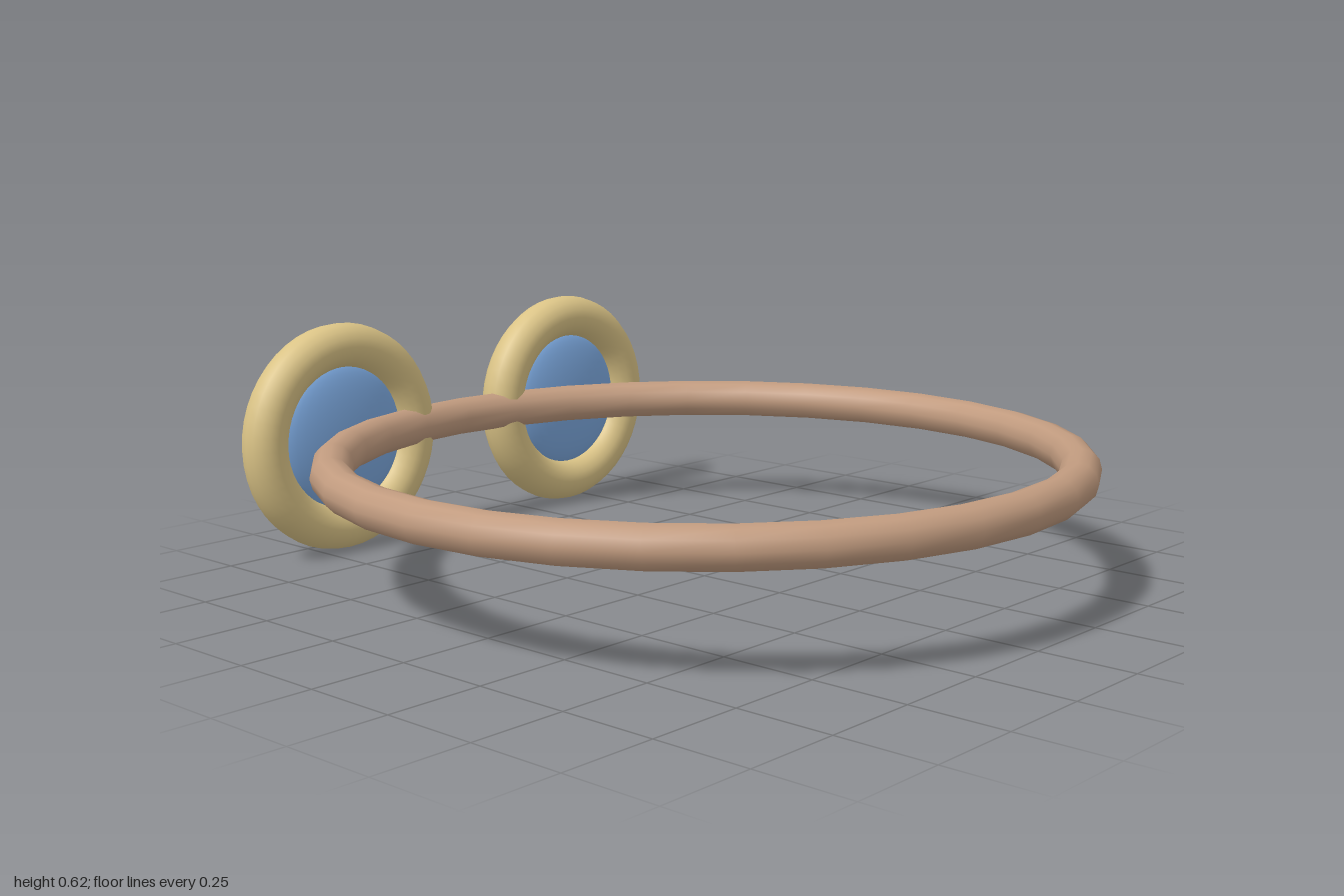
import * as THREE from 'three';

export function createModel() {
  const model = new THREE.Group();
  model.name = 'goggles';

  const material = (name, color) => {
    const m = new THREE.MeshStandardMaterial({ color });
    m.name = name;
    return m;
  };
  const strapTan = material('strapTan', 0xc19b7f);
  const rimGold = material('rimGold', 0xdac386);
  const lensBlue = material('lensBlue', 0x7ba7dd);

  const add = (parent, name, geometry, mat) => {
    const mesh = new THREE.Mesh(geometry, mat);
    mesh.name = name;
    parent.add(mesh);
    return mesh;
  };

  const height = 0.312;

  // Head strap: a horizontal ring
  const strap = add(model, 'strap', new THREE.TorusGeometry(0.94, 0.052, 12, 32), strapTan);
  strap.rotation.x = Math.PI / 2;
  strap.position.set(0, height, 0.004);

  // Eyepieces: round rims, each holding a lens that bulges on both sides
  const rimGeometry = new THREE.TorusGeometry(0.248, 0.06, 16, 48);
  const lensGeometry = new THREE.SphereGeometry(0.2, 32, 24).scale(1, 1, 0.25);
  for (const side of [-1, 1]) {
    const eyepiece = new THREE.Group();
    eyepiece.name = side > 0 ? 'leftEyepiece' : 'rightEyepiece';
    eyepiece.position.set(side * 0.42, height, -0.94);
    add(eyepiece, 'rim', rimGeometry, rimGold);
    add(eyepiece, 'lens', lensGeometry, lensBlue);
    model.add(eyepiece);
  }

  return model;
}
